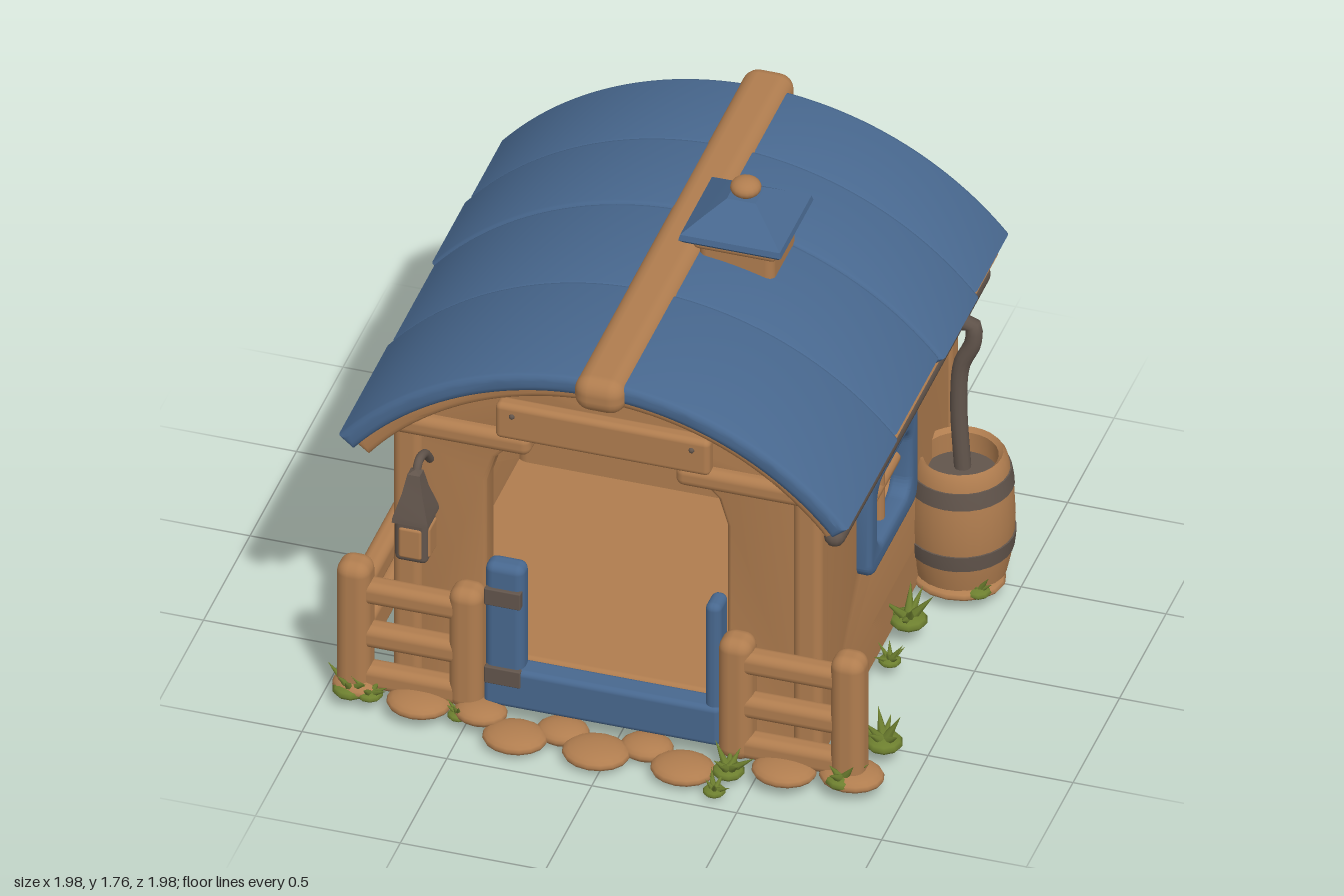
import * as THREE from 'three';
import { toCreasedNormals } from 'three/addons/utils/BufferGeometryUtils.js';
import { RoundedBoxGeometry } from 'three/addons/geometries/RoundedBoxGeometry.js';

const material = (name, color, side = THREE.FrontSide) => {
  const m = new THREE.MeshStandardMaterial({ color, side });
  m.name = name;
  return m;
};

export function createModel() {
  const root = new THREE.Group();
  root.name = 'cottage';
  const wood = material('wood', 0xb07d4f);
  const blue = material('bluePaint', 0x48688f);
  const iron = material('darkMetal', 0x62554c);
  const green = material('grass', 0x6d7f2f);

  const add = (name, geo, mat, x = 0, y = 0, z = 0, parent = root) => {
    const m = new THREE.Mesh(geo, mat);
    m.name = name;
    m.position.set(x, y, z);
    parent.add(m);
    return m;
  };
  // Rounded box given by its two extreme corners
  const box = (name, mat, x0, x1, y0, y1, z0, z1, r = 0.02) =>
    add(name, new RoundedBoxGeometry(x1 - x0, y1 - y0, z1 - z0, 3, r), mat, (x0 + x1) / 2, (y0 + y1) / 2, (z0 + z1) / 2);
  // Bevelled extrusion running from z0 to z1
  const extrude = (shape, z0, z1, b = 0.015) => {
    const g = new THREE.ExtrudeGeometry(shape, {
      depth: z1 - z0 - 2 * b, bevelEnabled: b > 0, bevelThickness: b, bevelSize: b,
      bevelOffset: -b, bevelSegments: 3, curveSegments: 24,
    });
    g.translate(0, 0, z0 + b);
    return toCreasedNormals(g, 0.7);
  };
  const tube = (name, mat, r, pts) => {
    const c = new THREE.CatmullRomCurve3(pts.map((p) => new THREE.Vector3(...p)));
    add(name, new THREE.TubeGeometry(c, 24, r, 12), mat);
    for (const p of [pts[0], pts[pts.length - 1]]) add(name + 'End', new THREE.SphereGeometry(r, 12, 8), mat, ...p);
  };
  const lathe = (pts, seg = 28) =>
    toCreasedNormals(new THREE.LatheGeometry(pts.map((p) => new THREE.Vector2(...p)), seg), 0.6);
  const roundRect = (P, cx, cy, w, h, r) => {
    const p = new P(), x = w / 2, y = h / 2, q = Math.PI / 2;
    [[1, 1, 0], [-1, 1, 1], [-1, -1, 2], [1, -1, 3]].forEach(([sx, sy, k]) =>
      p.absarc(cx + sx * (x - r), cy + sy * (y - r), r, k * q, (k + 1) * q, false));
    p.closePath();
    return p;
  };

  // Curved roof: arcs around a common centre
  const CX = -0.045, CY = 0.391, Q = Math.PI / 2;
  const band = (r0, r1, h) => {
    const s = new THREE.Shape();
    s.absarc(CX, CY, r1, Q + h, Q - h, true);
    s.absarc(CX, CY, r0, Q - h, Q + h, false);
    return s;
  };
  add('roofArch', extrude(band(1.01, 1.09, 0.9), -0.87, 0.8, 0.02), wood);
  const joints = [-0.91, -0.55, -0.17, 0.3, 0.85];
  for (let i = 0; i < 4; i++) {
    const wob = [0, 0.012, -0.004, 0.006][i];
    add('roofPanel', extrude(band(1.07, 1.136 + wob * 0.4, 0.876 + wob), joints[i] - 0.008, joints[i + 1] + 0.008, 0.022), blue);
  }
  box('ridgeBeam', wood, -0.105, 0.07, 1.42, 1.55, -1, 0.9, 0.055);

  // Chimney with a flared square cap
  box('chimney', wood, 0.06, 0.32, 1.4, 1.6, -0.21, 0.05, 0.03);
  box('chimneyCollar', wood, 0.045, 0.335, 1.545, 1.59, -0.225, 0.065, 0.02);
  const cap = add('chimneyCap', lathe([[0, 1.575], [0.23, 1.58], [0.25, 1.595], [0.243, 1.615], [0.15, 1.665], [0.07, 1.705], [0, 1.705]], 4), blue, 0.185, 0, -0.08);
  cap.rotation.y = Math.PI / 4;
  const knob = add('chimneyKnob', new THREE.SphereGeometry(0.052, 16, 12), wood, 0.185, 1.73, -0.08);
  knob.scale.y = 0.65;

  // Gable walls under the arch; the front one has a doorway
  const gable = () => {
    const s = new THREE.Shape();
    s.moveTo(-0.77, 0.05);
    s.lineTo(0.69, 0.05);
    s.lineTo(0.69, 1.08);
    const a = Math.atan2(1.08 - CY, 0.735);
    s.absarc(CX, CY, 1.03, a, Math.PI - a, false);
    s.lineTo(-0.77, 1.08);
    s.closePath();
    return s;
  };
  const front = gable(), door = new THREE.Path();
  [[-0.46, 0.08], [-0.46, 0.93], [-0.43, 1.03], [-0.34, 1.12], [-0.28, 1.135], [0.19, 1.135], [0.25, 1.12], [0.34, 1.03], [0.37, 0.93], [0.37, 0.08]]
    .forEach((p, i) => (i ? door.lineTo(...p) : door.moveTo(...p)));
  door.closePath();
  front.holes.push(door);
  add('frontWall', extrude(front, 0.61, 0.7, 0.015), wood);
  add('backWall', extrude(gable(), -0.76, -0.68, 0.01), wood);
  box('floor', wood, -0.77, 0.69, 0.05, 0.24, -0.76, 0.69, 0.02);
  box('backBench', wood, -0.7, 0.62, 0.2, 0.53, -0.7, -0.36, 0.04);

  // Boards on both faces of the back wall
  for (let i = 0; i < 4; i++) {
    const y = 0.07 + i * 0.25;
    box('backBoard', wood, -0.72, 0.64, y, y + 0.26, -0.775, -0.7, 0.03);
    if (i > 1) box('innerBoard', wood, -0.71, 0.63, y, y + 0.26, -0.7, -0.665, 0.015);
  }
  box('backBeam', wood, -0.76, 0.68, 1.08, 1.17, -0.8, -0.7, 0.03);
  box('frontBeamLeft', wood, 0.2, 0.7, 1.08, 1.16, 0.65, 0.74, 0.03);
  box('frontBeamRight', wood, -0.78, -0.3, 1.08, 1.16, 0.65, 0.74, 0.03);
  for (const x of [-0.78, 0.6]) for (const z of [-0.78, 0.62]) box('cornerPost', wood, x, x + 0.1, 0.05, 1.12, z, z + 0.1, 0.03);

  // Side walls with framed, cross-barred windows
  for (const s of [-1, 1]) {
    const x = s > 0 ? 0.69 : -0.77, wz = 0.045, wy = 0.715;
    const side = new THREE.Group();
    side.name = s > 0 ? 'leftSide' : 'rightSide';
    side.position.x = x;
    side.rotation.y = s * Q;
    root.add(side);
    const u = -s * wz;
    const wall = new THREE.Shape();
    [[-0.69, 0.05], [0.69, 0.05], [0.69, 1.1], [-0.69, 1.1]].forEach((p, i) => (i ? wall.lineTo(...p) : wall.moveTo(...p)));
    wall.closePath();
    wall.holes.push(roundRect(THREE.Path, u, wy, 0.36, 0.26, 0.06));
    add('sideWall', extrude(wall, -0.08, 0, 0.005), wood, 0, 0, 0, side);
    const frame = roundRect(THREE.Shape, u, wy, 0.52, 0.41, 0.06);
    frame.holes.push(roundRect(THREE.Path, u, wy, 0.35, 0.25, 0.06));
    add('windowFrame', extrude(frame, -0.03, 0.05, 0.022), blue, 0, 0, 0, side);
    const bar = (l) => new THREE.CapsuleGeometry(0.024, l, 4, 10);
    add('windowBarUpright', bar(0.25), wood, u, wy, -0.01, side);
    add('windowBarCross', bar(0.34), wood, u, wy, -0.01, side).rotation.z = Q;
  }

  // Sign board bent to follow the arch
  const sign = new RoundedBoxGeometry(0.74, 0.14, 0.06, 6, 0.02);
  const sp = sign.attributes.position;
  for (let i = 0; i < sp.count; i++) sp.setY(i, sp.getY(i) - 0.12 * sp.getX(i) ** 2);
  add('signBoard', sign, wood, -0.03, 1.27, 0.77);
  for (const x of [-0.34, 0.28]) add('signNail', new THREE.SphereGeometry(0.01, 8, 6), iron, x, 1.285, 0.8);

  // Blue half-door frame with hinges
  box('doorPanel', blue, -0.45, 0.365, 0.08, 0.235, 0.68, 0.77, 0.02);
  box('doorPostRight', blue, -0.45, -0.315, 0.08, 0.64, 0.68, 0.76, 0.03);
  box('doorPostLeft', blue, 0.31, 0.365, 0.08, 0.64, 0.66, 0.76, 0.025);
  for (const y of [0.17, 0.485]) box('hinge', iron, -0.445, -0.32, y, y + 0.065, 0.73, 0.773, 0.004);

  // Fences across the front and along the right side
  const post = (x, z, h = 0.56) => box('fencePost', wood, x - 0.058, x + 0.058, 0.05, h, z - 0.058, z + 0.058, 0.045);
  post(-0.895, 0.75);
  post(0.81, 0.75, 0.545);
  post(-0.89, -0.75);
  post(-0.51, 0.74, 0.53);
  post(0.42, 0.74, 0.53);
  for (const [x0, x1] of [[-0.9, -0.5], [0.42, 0.81]]) {
    [[0.4, 0.485], [0.225, 0.31], [0.06, 0.15]].forEach(([a, b]) => box('frontRail', wood, x0, x1, a, b, 0.71, 0.79, 0.03));
  }
  box('sideRailTop', wood, -0.925, -0.85, 0.36, 0.46, -0.75, 0.75, 0.03);
  box('sideRailLow', wood, -0.915, -0.86, 0.14, 0.27, -0.75, 0.75, 0.025);

  // Gutter and downpipe
  tube('gutter', iron, 0.036, [[0.765, 1.025, 0.77], [0.77, 1.03, 0], [0.765, 1.02, -0.79]]);
  tube('downpipe', iron, 0.029, [[0.78, 1.03, -0.5], [0.83, 1.03, -0.5], [0.835, 0.96, -0.5], [0.795, 0.86, -0.5], [0.785, 0.7, -0.5], [0.8, 0.42, -0.5]]);

  // Open barrel with two bands
  const br = (y) => 0.181 - 0.55 * (y - 0.3) ** 2;
  const ys = [0.07, 0.13, 0.21, 0.3, 0.39, 0.47, 0.52];
  const bx = 0.805, bz = -0.46;
  add('barrel', lathe([[0, 0.06], ...ys.map((y) => [br(y), y]), [0.14, 0.54], [0.125, 0.525], [0.125, 0.44]]), wood, bx, 0, bz);
  add('barrelInside', new THREE.CircleGeometry(0.13, 24).rotateX(-Q), iron, bx, 0.45, bz);
  for (const y of [0.175, 0.42]) {
    add('barrelBand', lathe([[br(y) - 0.01, y], [br(y) + 0.005, y], [br(y + 0.03) + 0.005, y + 0.03], [br(y + 0.06) + 0.005, y + 0.06], [br(y + 0.06) - 0.01, y + 0.06]]), iron, bx, 0, bz);
  }

  // Lantern on a hook
  tube('lanternHook', iron, 0.015, [[-0.655, 0.98, 0.7], [-0.655, 1.04, 0.76], [-0.655, 1.05, 0.82], [-0.655, 0.99, 0.86]]);
  const lantern = add('lanternTop', lathe([[0, 0.85], [0.088, 0.855], [0.085, 0.875], [0.05, 0.96], [0.03, 1.03], [0, 1.04]], 4), iron, -0.655, 0, 0.855);
  lantern.rotation.y = Math.PI / 4;
  box('lanternBody', iron, -0.712, -0.598, 0.7, 0.87, 0.798, 0.912, 0.02);
  box('lanternPane', wood, -0.695, -0.615, 0.72, 0.84, 0.792, 0.918, 0.01);
  box('lanternSidePane', wood, -0.718, -0.592, 0.72, 0.84, 0.815, 0.895, 0.01);

  // Stepping stones
  const stones = [[-0.31, 0.86, 0.11], [-0.03, 0.86, 0.115], [0.27, 0.86, 0.11], [-0.17, 0.78, 0.09], [0.12, 0.78, 0.09], [0.6, 0.8, 0.11],
    [-0.66, 0.8, 0.11], [0.82, 0.76, 0.11], [-0.88, 0.76, 0.09], [0.81, -0.42, 0.16], [-0.45, 0.79, 0.09]];
  stones.forEach(([x, z, r], i) => {
    add('stone', new THREE.SphereGeometry(r, 16, 10), wood, x, i < 5 ? 0.04 : 0.065, z).scale.set(1, 0.035 / r, 0.85);
  });

  // Grass tufts: fans of leaning, tapered blades
  let seed = 7;
  const rnd = () => (seed = (seed * 16807) % 2147483647) / 2147483647;
  const tuft = (x, y, z, r, n = 7) => {
    const g = new THREE.Group();
    g.name = 'grassTuft';
    g.position.set(x, y, z);
    root.add(g);
    add('grassBase', new THREE.SphereGeometry(r * 0.65, 10, 6), green, 0, 0, 0, g).scale.y = 0.4;
    for (let i = 0; i < n; i++) {
      const h = r * (0.9 + 0.5 * rnd());
      const blade = new THREE.ConeGeometry(r * 0.22, h, 6, 3);
      blade.translate(0, h / 2, 0);
      const b = add('grassBlade', blade, green, 0, 0, 0, g);
      b.rotation.set(0, (i / n) * Math.PI * 2 + rnd(), 0.45 + 0.65 * rnd(), 'YXZ');
    }
  };
  [[-0.9, 0.06, 0.79, 0.095], [-0.83, 0.06, 0.8, 0.07], [-0.52, 0.05, 0.81, 0.06], [0.42, 0.05, 0.84, 0.085], [0.4, 0.025, 0.93, 0.06],
    [0.8, 0.07, 0.8, 0.09], [0.87, 0.08, 0.57, 0.1], [0.74, 0.09, -0.1, 0.1], [0.74, 0.06, 0.1, 0.06], [0.88, 0.07, -0.57, 0.085],
    [0.9, 0.07, -0.35, 0.07], [0.72, 0.06, -0.8, 0.08], [-0.9, 0.07, -0.79, 0.09], [-0.83, 0.05, 0.1, 0.06]].forEach((t) => tuft(...t));

  return root;
}
